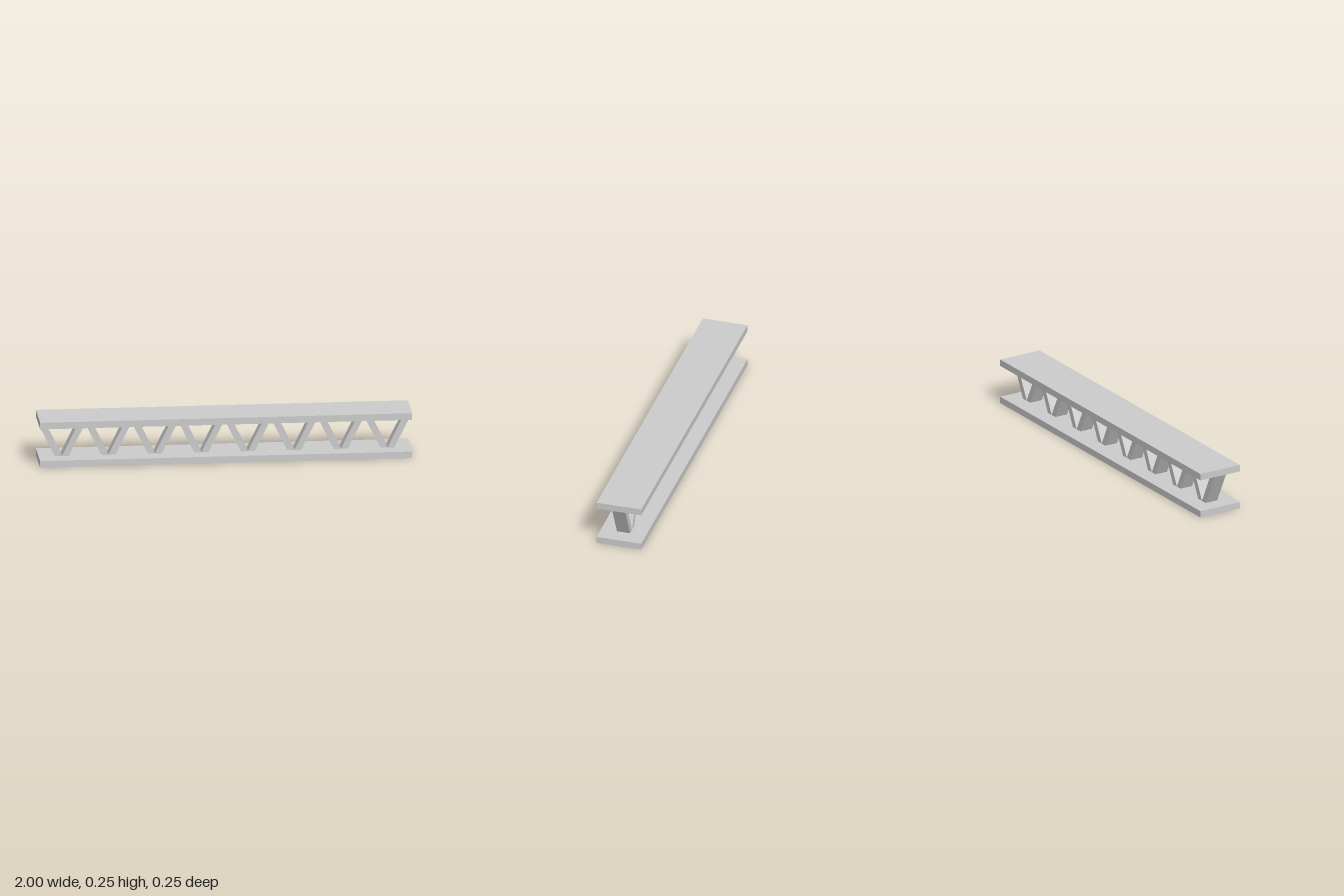
import * as THREE from 'three';

const LENGTH = 2, HEIGHT = 0.25, DEPTH = 0.25;
const PLATE = 0.0366;   // flange thickness
const BAR = 0.0375;     // horizontal width of a diagonal
const WEB = 0.0732;     // diagonal depth along z
const BAYS = 8;

export function createModel() {
  const group = new THREE.Group();
  const material = new THREE.MeshStandardMaterial({ color: 0xcccccc, flatShading: true });

  const add = (name, geometry, x, y, z) => {
    const mesh = new THREE.Mesh(geometry, material);
    mesh.name = name;
    mesh.position.set(x, y, z);
    group.add(mesh);
  };

  // Flat flanges along the bottom and top
  const flange = new THREE.BoxGeometry(LENGTH, PLATE, DEPTH);
  add('bottomFlange', flange, 0, PLATE / 2, 0);
  add('topFlange', flange, 0, HEIGHT - PLATE / 2, 0);

  // Slanted bar from the outer top of a bay to its bottom centre; side is -1 or 1
  const half = LENGTH / BAYS / 2;
  const diagonal = (side) => {
    const shape = new THREE.Shape([
      [half, HEIGHT - PLATE], [half - BAR, HEIGHT - PLATE], [0, PLATE], [BAR, PLATE],
    ].map(([x, y]) => new THREE.Vector2(side * x, y)));
    return new THREE.ExtrudeGeometry(shape, { depth: WEB, bevelEnabled: false });
  };
  const leftBar = diagonal(1), rightBar = diagonal(-1);

  // Zigzag web, one V per bay
  for (let i = 0; i < BAYS; i++) {
    const x = -LENGTH / 2 + half * (2 * i + 1);
    add('leftDiagonal', leftBar, x, 0, -WEB / 2);
    add('rightDiagonal', rightBar, x, 0, -WEB / 2);
  }
  return group;
}
